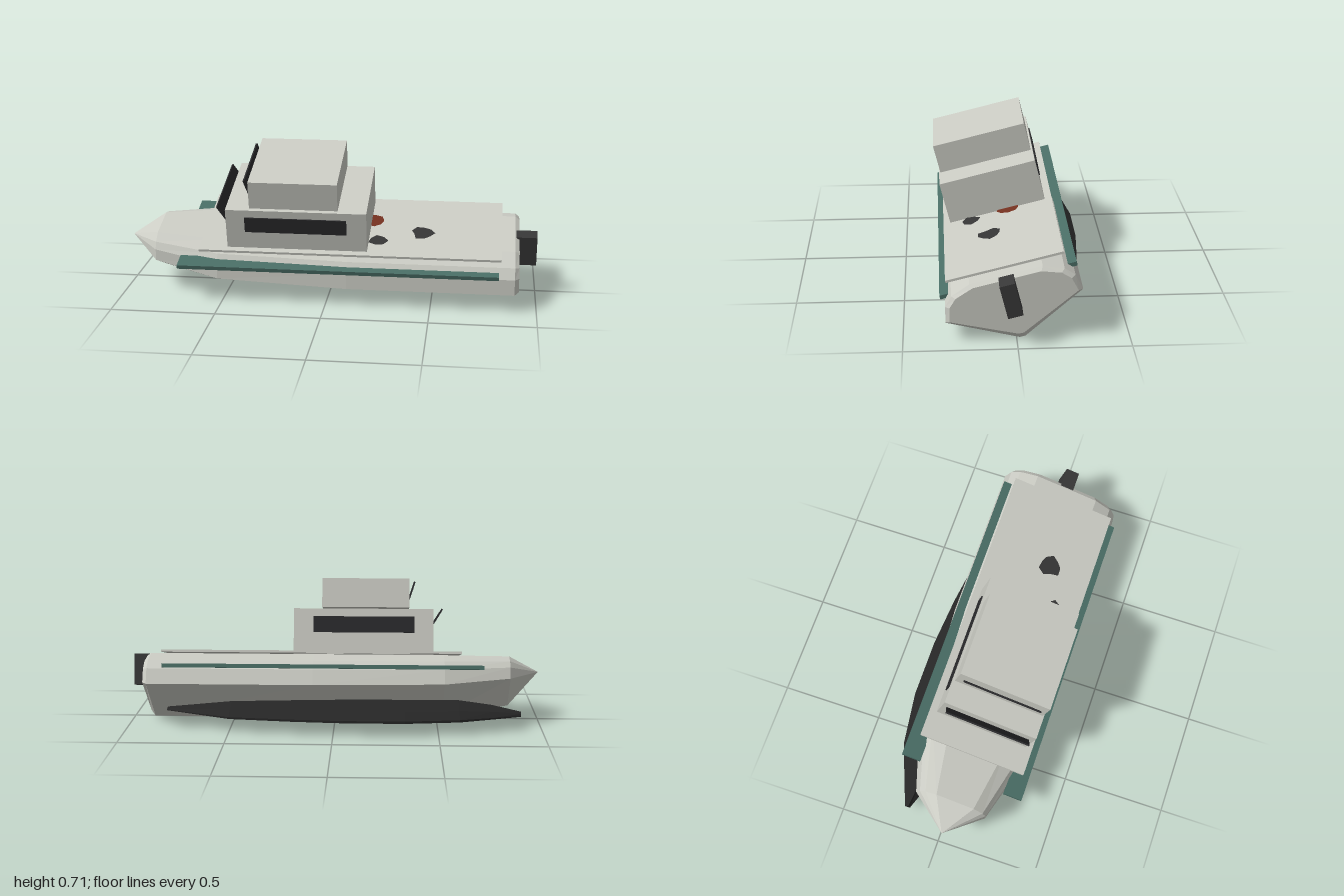
import * as THREE from 'three';

const mat = (name, color, extra = {}) => {
  const m = new THREE.MeshStandardMaterial({ color, ...extra });
  m.name = name;
  return m;
};

// Skins a list of equal-length rings of [x, y, z] points and caps both ends
function loft(rings) {
  const n = rings[0].length, pos = [];
  const tri = (a, b, c) => pos.push(...a, ...b, ...c);
  for (let i = 0; i < rings.length - 1; i++) {
    for (let j = 0; j < n; j++) {
      const k = (j + 1) % n;
      const a = rings[i][j], b = rings[i][k], c = rings[i + 1][k], d = rings[i + 1][j];
      tri(a, d, c);
      tri(a, c, b);
    }
  }
  const first = rings[0], last = rings[rings.length - 1];
  for (let k = 1; k < n - 1; k++) {
    tri(first[0], first[k], first[k + 1]);
    tri(last[0], last[k + 1], last[k]);
  }
  const g = new THREE.BufferGeometry();
  g.setAttribute('position', new THREE.Float32BufferAttribute(pos, 3));
  g.computeVertexNormals();
  return g;
}

// Hull cross-section: half width, keel, chine and deck heights
function hullRing(x, hw, keel, chine, top) {
  const h = top - chine;
  const half = [
    [0.042 * hw, keel], [hw, chine], [0.945 * hw, chine + 0.49 * h],
    [0.82 * hw, chine + 0.77 * h], [0.53 * hw, top],
  ];
  const mirror = half.map(([z, y]) => [-z, y]).reverse();
  return [...half, ...mirror].map(([z, y]) => [x, y, z]);
}

export function createModel() {
  const model = new THREE.Group();
  const hullPaint = mat('hull grey', 0xcbccc4, { flatShading: true });
  const glass = mat('dark glass', 0x2a2a2c);
  const teal = mat('teal trim', 0x4a6e66);
  const engineMat = mat('engine grey', 0x383838);
  const hole = mat('charred hole', 0x353535, { side: THREE.DoubleSide });
  const rust = mat('rust', 0x74301f, { side: THREE.DoubleSide });
  const rock = mat('dark rock', 0x262626, { flatShading: true });

  // The boat lists over on its side
  const boat = new THREE.Group();
  boat.name = 'boat';
  boat.rotation.x = 0.244;
  boat.position.set(0, -0.0273 * Math.sin(0.244) + 0.002, -0.028 * Math.cos(0.244));
  model.add(boat);

  const add = (name, geo, material, x = 0, y = 0, z = 0, parent = boat) => {
    const m = new THREE.Mesh(geo, material);
    m.name = name;
    m.position.set(x, y, z);
    parent.add(m);
    return m;
  };
  // Box from its limits
  const block = (name, material, x0, x1, y0, y1, z0, z1) =>
    add(name, new THREE.BoxGeometry(x1 - x0, y1 - y0, z1 - z0), material,
      (x0 + x1) / 2, (y0 + y1) / 2, (z0 + z1) / 2);

  // Hull, from bow to bevelled stern
  boat.position.y = 0.007;
  boat.position.y -= 0.014 - 0.007;
  add('hull', loft([
    hullRing(-1, 0.0005, 0.235, 0.235, 0.2355),
    hullRing(-0.85, 0.18, 0.068, 0.198, 0.308),
    hullRing(-0.53, 0.275, 0.015, 0.166, 0.31),
    hullRing(0.1, 0.31, 0, 0.158, 0.31),
    hullRing(0.895, 0.31, 0.003, 0.158, 0.31),
    hullRing(0.915, 0.29, 0.03, 0.165, 0.297),
  ]), hullPaint);

  // Deck and two stacked cabins
  block('deck', hullPaint, -0.61, 0.83, 0.313, 0.324, -0.268, 0.268);
  block('lowerCabin', hullPaint, -0.475, 0.195, 0.31, 0.528, -0.234, 0.234);
  block('upperCabin', hullPaint, -0.36, 0.06, 0.536, 0.675, -0.2255, 0.2255);

  // Side windows and trim planks
  for (const s of [1, -1]) {
    add('sideWindow', new THREE.BoxGeometry(0.485, 0.077, 0.008), glass, -0.142, 0.452, s * 0.236);
    add('sideTrim', new THREE.BoxGeometry(1.535, 0.019, 0.093), teal, 0.053, 0.247, s * 0.265);
  }

  // Raked front windows, top edge leaning forward
  const windscreen = (name, xTop, xBottom, yTop, yBottom, hw) => {
    const dx = xBottom - xTop, dy = yTop - yBottom;
    const w = add(name, new THREE.BoxGeometry(0.008, Math.hypot(dx, dy), 2 * hw), glass,
      (xTop + xBottom) / 2, (yTop + yBottom) / 2);
    w.rotation.z = Math.atan2(dx, dy);
  };
  windscreen('lowerWindscreen', -0.518, -0.476, 0.53, 0.462, 0.212);
  windscreen('upperWindscreen', -0.385, -0.361, 0.663, 0.59, 0.192);

  // Stern engine
  block('engine', engineMat, 0.9, 1, 0.155, 0.31, -0.034, 0.034);

  // Ragged patches lying on the deck
  const patch = (name, material, x, z, r, radii) => {
    const pts = radii.map((k, i) => {
      const a = (i / radii.length) * Math.PI * 2;
      return new THREE.Vector2(Math.cos(a) * r * k, Math.sin(a) * r * k);
    });
    add(name, new THREE.ShapeGeometry(new THREE.Shape(pts)), material, x, 0.328, z)
      .rotation.x = -Math.PI / 2;
  };
  patch('deckHole', hole, 0.45, 0.05, 0.06, [1, 0.85, 0.8, 1, 0.95, 0.7, 1.05, 0.9, 0.8]);
  patch('smallDeckHole', hole, 0.24, 0.132, 0.05, [1, 0.8, 0.95, 0.8, 1, 0.85, 0.9]);
  patch('rustPatch', rust, 0.2, -0.052, 0.058, [0.95, 1, 0.9, 1, 0.9, 1, 0.85, 1, 0.95]);

  // Low rock ledge under the raised side: x, inner z, outer z, height
  const ledge = [
    [-0.9, -0.18, -0.205, 0.3], [-0.76, -0.13, -0.26, 0.7], [-0.6, -0.1, -0.32, 1],
    [-0.34, -0.09, -0.355, 1], [-0.05, -0.09, -0.355, 1], [0.2, -0.09, -0.335, 0.95],
    [0.5, -0.09, -0.295, 0.8], [0.82, -0.09, -0.14, 0.2],
  ].map(([x, zi, zo, h]) => [[0, 0], [0.3, 0.07], [0.81, 0.045], [1, 0.011], [1, 0]]
    .map(([t, y]) => [x, 0.06 + y * h, zi + (zo - zi) * t]));
  add('rockLedge', loft(ledge), rock, 0, 0, 0, model);

  return model;
}
